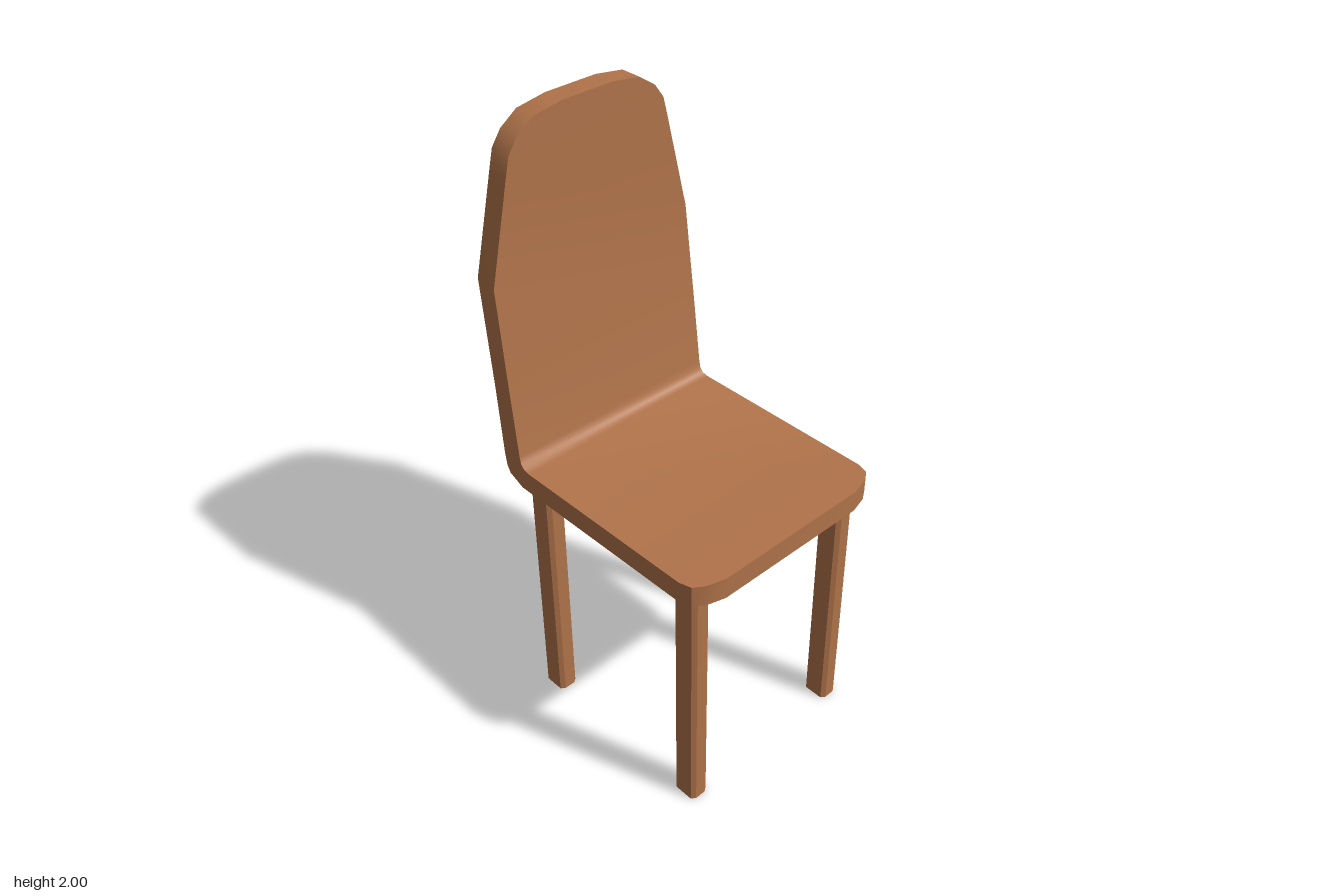
import * as THREE from 'three';
import { toCreasedNormals } from 'three/addons/utils/BufferGeometryUtils.js';

const wood = new THREE.MeshStandardMaterial({ color: 0xb0734a, side: THREE.DoubleSide });
wood.name = 'warm wood';

// Seat and back stations: [inner z, inner y, outer z, outer y, half width]
const STATIONS = [
  [0.45, 0.932, 0.45, 0.86, 0.27],
  [0.433, 0.932, 0.433, 0.86, 0.33],
  [0.41, 0.932, 0.41, 0.86, 0.364],
  [0.37, 0.932, 0.37, 0.86, 0.375],
  [-0.28, 0.932, -0.318, 0.86, 0.375],
  [-0.302, 0.937, -0.374, 0.885, 0.375],
  [-0.314, 0.95, -0.386, 0.908, 0.375],
  [-0.319, 0.975, -0.393, 0.955, 0.375],
  [-0.342, 1.19, -0.412, 1.19, 0.373],
  [-0.378, 1.525, -0.45, 1.535, 0.368],
  [-0.378, 1.84, -0.45, 1.84, 0.295],
  [-0.378, 1.9, -0.45, 1.9, 0.28],
  [-0.378, 1.945, -0.45, 1.945, 0.248],
  [-0.378, 1.985, -0.45, 1.985, 0.19],
  [-0.378, 2, -0.45, 2, 0.09],
];

// Joins four-cornered cross-sections into one bent slab
function slabGeometry(stations) {
  const pos = [];
  const index = [];
  const quad = (a, b, c, d) => index.push(a, b, c, a, c, d);
  for (const [iz, iy, oz, oy, w] of stations) {
    pos.push(w, iy, iz, -w, iy, iz, -w, oy, oz, w, oy, oz);
  }
  for (let i = 0; i < stations.length - 1; i++) {
    for (let k = 0; k < 4; k++) {
      const a = i * 4 + k;
      const b = i * 4 + (k + 1) % 4;
      quad(a, a + 4, b + 4, b);
    }
  }
  quad(0, 1, 2, 3);
  const e = (stations.length - 1) * 4;
  quad(e + 3, e + 2, e + 1, e);
  const geo = new THREE.BufferGeometry();
  geo.setAttribute('position', new THREE.Float32BufferAttribute(pos, 3));
  geo.setIndex(index);
  return toCreasedNormals(geo, 0.65);
}

// Hollow leg with bevelled corners, open at both ends
function legGeometry(hx, hz, cx, cz, height) {
  const ring = [
    [hx, hz - cz], [hx - cx, hz], [cx - hx, hz], [-hx, hz - cz],
    [-hx, cz - hz], [cx - hx, -hz], [hx - cx, -hz], [hx, cz - hz],
  ];
  const pos = [];
  const index = [];
  for (const [x, z] of ring) pos.push(x, 0, z, x, height, z);
  for (let i = 0; i < ring.length; i++) {
    const a = i * 2;
    const b = ((i + 1) % ring.length) * 2;
    index.push(a, a + 1, b + 1, a, b + 1, b);
  }
  // Corners run clockwise seen from below, so flip each face outward
  for (let i = 0; i < index.length; i += 3) {
    const t = index[i + 1];
    const p = (n) => new THREE.Vector3().fromArray(pos, n * 3);
    const normal = p(t).sub(p(index[i])).cross(p(index[i + 2]).sub(p(index[i])));
    const mid = p(index[i]).add(p(t)).add(p(index[i + 2])).setY(0);
    if (normal.dot(mid) < 0) {
      index[i + 1] = index[i + 2];
      index[i + 2] = t;
    }
  }
  const geo = new THREE.BufferGeometry();
  geo.setAttribute('position', new THREE.Float32BufferAttribute(pos, 3));
  geo.setIndex(index);
  return toCreasedNormals(geo, 0.5);
}

export function createModel() {
  const chair = new THREE.Group();
  chair.name = 'chair';

  const shell = new THREE.Mesh(slabGeometry(STATIONS), wood);
  shell.name = 'seatAndBack';
  chair.add(shell);

  // Four legs
  const geo = legGeometry(0.0325, 0.0425, 0.014, 0.01, 0.862);
  for (const [x, side] of [[0.297, 'Left'], [-0.312, 'Right']]) {
    for (const [z, end] of [[0.358, 'front'], [-0.28, 'back']]) {
      const leg = new THREE.Mesh(geo, wood);
      leg.name = `${end}${side}Leg`;
      leg.position.set(x, 0, z);
      chair.add(leg);
    }
  }
  return chair;
}
